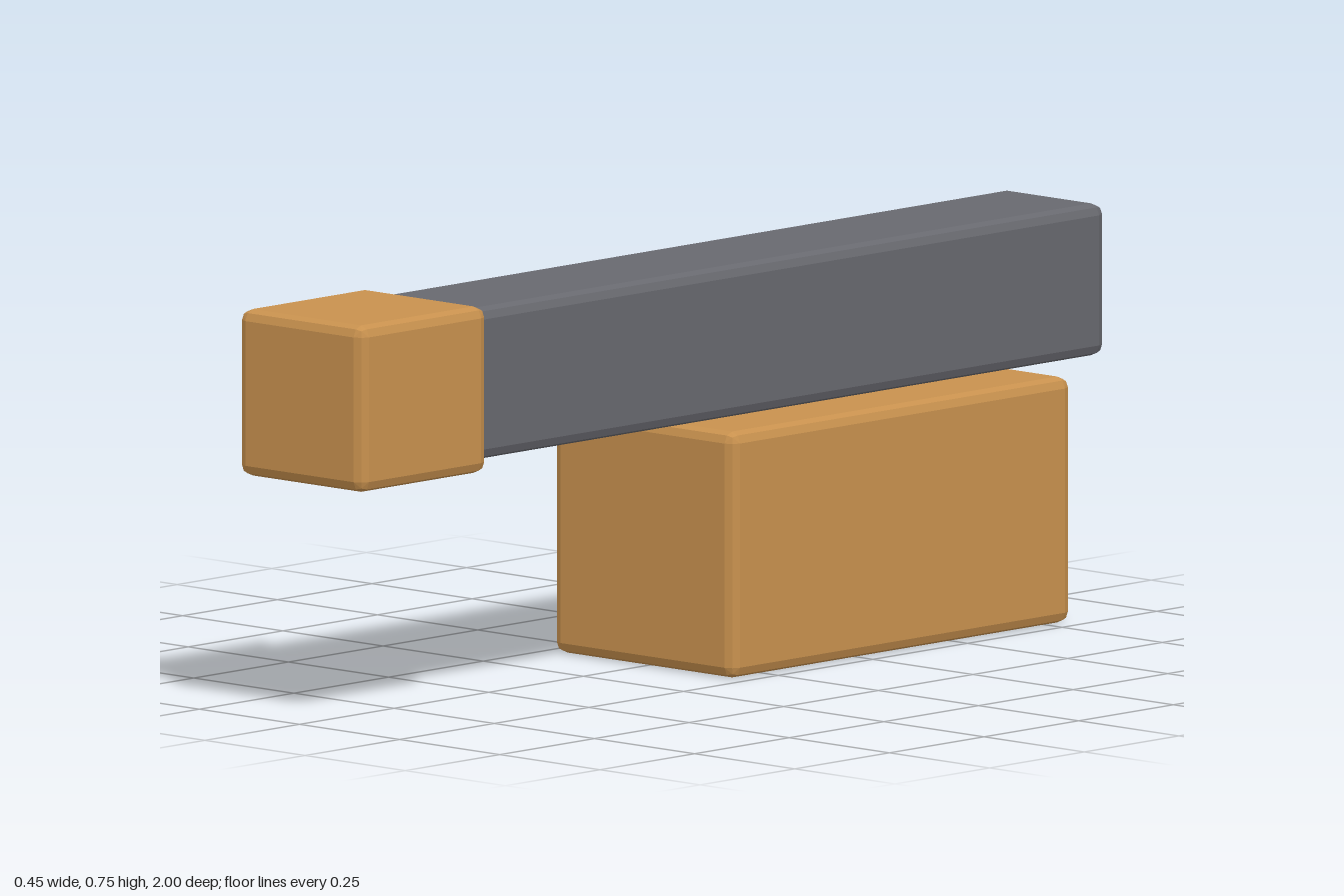
import * as THREE from 'three';
import { ConvexGeometry } from 'three/addons/geometries/ConvexGeometry.js';

const BEVEL = 0.02;

// Box spanning two corners, with every edge rounded off in two flat steps
function beveledBox(min, max) {
  const points = [];
  const dirs = [[1, 0, 0], [0, 1, 0], [0, 0, 1], [1, 1, 0], [1, 0, 1], [0, 1, 1], [1, 1, 1]];
  for (const sx of [-1, 1]) for (const sy of [-1, 1]) for (const sz of [-1, 1]) {
    const signs = [sx, sy, sz];
    const core = signs.map((s, i) => (s > 0 ? max[i] - BEVEL : min[i] + BEVEL));
    for (const d of dirs) {
      const r = BEVEL / Math.hypot(...d);
      points.push(new THREE.Vector3(...core.map((c, i) => c + signs[i] * d[i] * r)));
    }
  }
  return new ConvexGeometry(points);
}

export function createModel() {
  const group = new THREE.Group();
  group.name = 'hammerBlocks';

  const wood = new THREE.MeshStandardMaterial({ color: 0xc8914e });
  wood.name = 'warm wood';
  const metal = new THREE.MeshStandardMaterial({ color: 0x68696f });
  metal.name = 'dark grey';

  const add = (name, min, max, material) => {
    const mesh = new THREE.Mesh(beveledBox(min, max), material);
    mesh.name = name;
    group.add(mesh);
  };

  // Lower block carrying the bar
  add('baseBlock', [-0.225, 0, -0.804], [0.225, 0.452, 0.094], wood);
  // Long bar, its front end set into the end block
  add('bar', [-0.125, 0.457, -1], [0.125, 0.736, 0.72], metal);
  // Block capping the front of the bar
  add('endBlock', [-0.155, 0.44, 0.664], [0.155, 0.746, 1], wood);

  return group;
}
